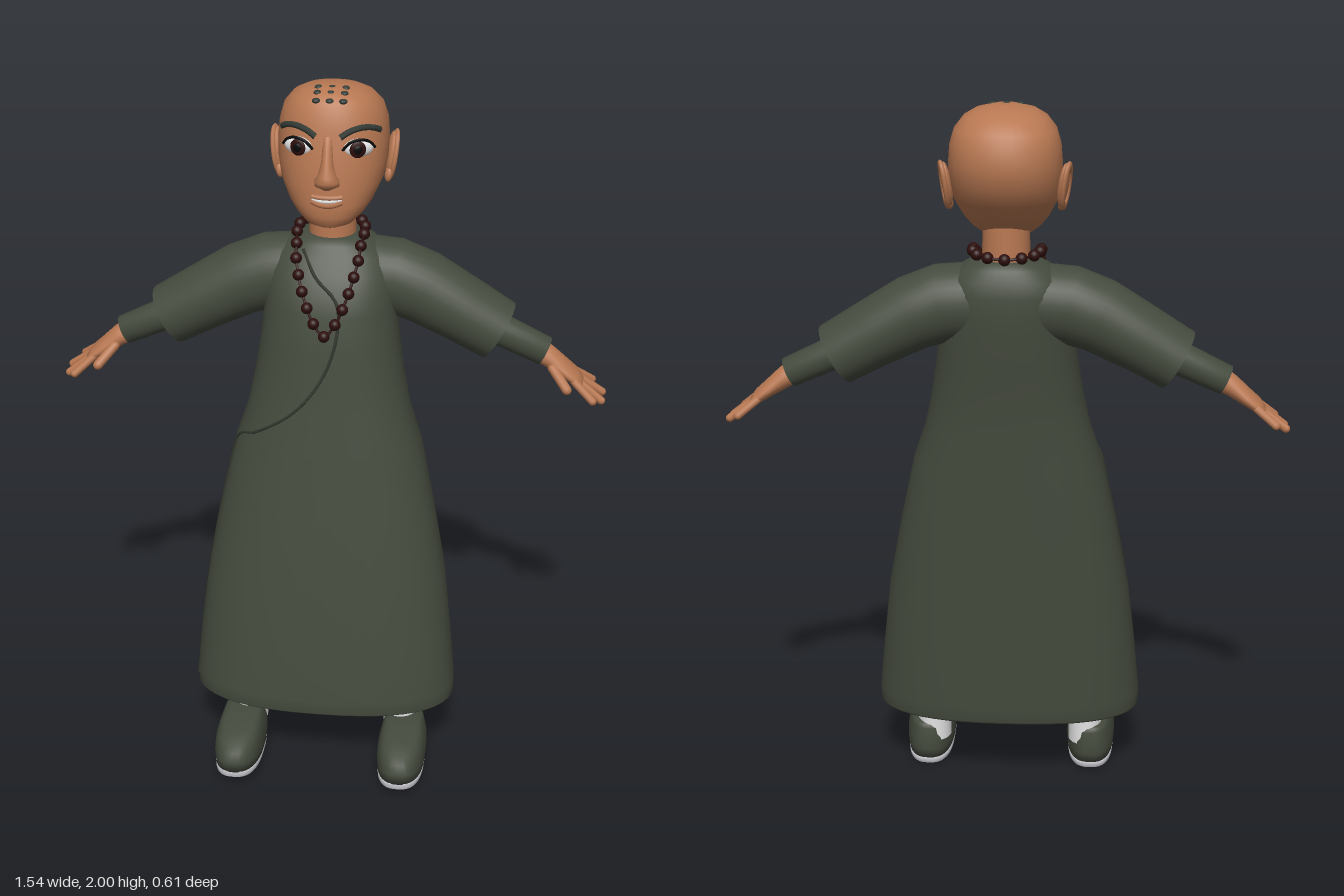
import * as THREE from 'three';

const mat = (name, color, side = THREE.FrontSide) => {
  const m = new THREE.MeshStandardMaterial({ color, side });
  m.name = name;
  return m;
};
const V = (x, y, z) => new THREE.Vector3(x, y, z);

// Skin a stack of rings; caps are optional fans.
function loft(rings, capStart, capEnd) {
  const n = rings[0].length, pos = [], idx = [];
  rings.forEach(r => r.forEach(p => pos.push(p.x, p.y, p.z)));
  for (let i = 0; i < rings.length - 1; i++) for (let j = 0; j < n; j++) {
    const k = (j + 1) % n, a = i * n + j, b = i * n + k, c = a + n, d = b + n;
    idx.push(a, c, d, a, d, b);
  }
  const cap = (i, flip) => {
    const c = V(0, 0, 0);
    rings[i].forEach(p => c.addScaledVector(p, 1 / n));
    const ci = pos.length / 3;
    pos.push(c.x, c.y, c.z);
    for (let j = 0; j < n; j++) {
      const a = i * n + j, b = i * n + (j + 1) % n;
      idx.push(ci, flip ? b : a, flip ? a : b);
    }
  };
  if (capStart) cap(0, false);
  if (capEnd) cap(rings.length - 1, true);
  const g = new THREE.BufferGeometry();
  g.setAttribute('position', new THREE.Float32BufferAttribute(pos, 3));
  g.setIndex(idx);
  g.computeVertexNormals();
  return g;
}

// Upright form from sections [y, halfWidth, zFront, zBack].
function upright(sections, pow, capStart = true, capEnd = true, sides = 40) {
  const se = v => Math.sign(v) * Math.pow(Math.abs(v), 2 / pow);
  return loft(sections.map(([y, w, zf, zb]) => Array.from({ length: sides }, (_, j) => {
    const t = j / sides * Math.PI * 2;
    return V(w * se(Math.cos(t)), y, (zf + zb) / 2 + (zf - zb) / 2 * se(Math.sin(t)));
  })), capStart, capEnd);
}

// Point on the front half of an upright form.
function onFront(sections, pow, x, y, out = 0) {
  let i = 0;
  while (i < sections.length - 2 && sections[i + 1][0] < y) i++;
  const a = sections[i], b = sections[i + 1], t = (y - a[0]) / (b[0] - a[0]);
  const [, w, zf, zb] = a.map((v, k) => v + (b[k] - v) * t);
  const u = Math.min(Math.abs(x) / w, 0.985);
  return V(Math.sign(x) * u * w, y, (zf + zb) / 2 + (zf - zb) / 2 * Math.pow(1 - u ** pow, 1 / pow) + out);
}

// Limb in the xy plane from points [x, y, halfThickness, halfDepth].
function limb(pts, zc, caps, sides = 24) {
  return loft(pts.map(([x, y, h, d], i) => {
    const p = pts[Math.max(i - 1, 0)], q = pts[Math.min(i + 1, pts.length - 1)];
    const l = Math.hypot(q[0] - p[0], q[1] - p[1]);
    const nx = -(q[1] - p[1]) / l, ny = (q[0] - p[0]) / l;
    return Array.from({ length: sides }, (_, j) => {
      const t = j / sides * Math.PI * 2, c = Math.cos(t) * h;
      return V(x + nx * c, y + ny * c, zc - Math.sin(t) * d);
    });
  }), caps, caps);
}

const tube = (pts, r, seg = 30, closed = false) =>
  new THREE.TubeGeometry(new THREE.CatmullRomCurve3(pts, closed), seg, r, 6, closed);

function rod(a, b, r) {
  const d = b.clone().sub(a);
  const g = new THREE.CapsuleGeometry(r, d.length() - r, 4, 10);
  g.applyQuaternion(new THREE.Quaternion().setFromUnitVectors(V(0, 1, 0), d.normalize()));
  const c = a.clone().add(b).multiplyScalar(0.5);
  return g.translate(c.x, c.y, c.z);
}

export function createModel() {
  const root = new THREE.Group();
  root.name = 'robedFigure';
  const robeMat = mat('robe green', 0x454b3e, THREE.DoubleSide);
  const seamMat = mat('seam dark green', 0x33382e);
  const skin = mat('skin', 0xb87852);
  const white = mat('sock white', 0xe2e2e2);
  const soleMat = mat('sole grey', 0xc0c0c6);
  const beadMat = mat('bead brown', 0x2c0e0c);
  const browMat = mat('brow grey', 0x343b35);
  const black = mat('pupil black', 0x0a0808);
  const add = (parent, name, geo, m) => {
    const mesh = new THREE.Mesh(geo, m);
    mesh.name = name;
    parent.add(mesh);
    return mesh;
  };
  const ball = (parent, name, m, p, s) => {
    const b = add(parent, name, new THREE.SphereGeometry(1, 20, 14), m);
    b.position.set(...p);
    b.scale.set(...s);
    return b;
  };

  // Long robe, with the inside of the hem folded in
  const robe = [
    [0.22, 0.38, 0.218, -0.16], [0.26, 0.38, 0.217, -0.163], [0.4, 0.366, 0.2, -0.17],
    [0.6, 0.343, 0.176, -0.18], [0.8, 0.305, 0.145, -0.19], [1.0, 0.262, 0.115, -0.2],
    [1.1, 0.228, 0.1, -0.205], [1.2, 0.208, 0.085, -0.212], [1.3, 0.193, 0.074, -0.225],
    [1.4, 0.182, 0.058, -0.235], [1.45, 0.18, 0.04, -0.238], [1.5, 0.174, 0.015, -0.238],
    [1.54, 0.155, -0.015, -0.23], [1.57, 0.118, -0.04, -0.213], [1.588, 0.08, -0.053, -0.197]];
  const inner = [[0.34, 0.34, 0.18, -0.145], [0.225, 0.365, 0.203, -0.145], [0.212, 0.373, 0.21, -0.153]];
  add(root, 'robe', upright([...inner, ...robe], 2.4, true, true, 48), robeMat);
  const fold = [[-0.07, 1.56], [-0.03, 1.5], [0.03, 1.44], [0.035, 1.36], [0.0, 1.24], [-0.08, 1.13], [-0.19, 1.05], [-0.25, 1.01],
    [-0.3, 0.9], [-0.34, 0.7], [-0.37, 0.45], [-0.38, 0.24]];
  add(root, 'robeOverlapSeam', tube(fold.map(([x, y]) => onFront(robe, 2.4, x, y)), 0.0045, 70), seamMat);

  // Neck and head
  add(root, 'neck', new THREE.CylinderGeometry(0.062, 0.066, 0.16, 24).translate(0, 1.625, -0.125), skin);
  const head = [
    [1.636, 0.035, -0.012, -0.08], [1.645, 0.065, 0.004, -0.13], [1.67, 0.092, 0.012, -0.175],
    [1.7, 0.114, 0.014, -0.21], [1.75, 0.138, 0.012, -0.262], [1.8, 0.148, 0.006, -0.293],
    [1.85, 0.15, -0.002, -0.306], [1.9, 0.146, -0.014, -0.302], [1.94, 0.134, -0.024, -0.282],
    [1.97, 0.11, -0.042, -0.247], [1.987, 0.08, -0.065, -0.21], [1.997, 0.035, -0.095, -0.165]];
  add(root, 'head', upright(head, 2.15), skin);
  add(root, 'nose', upright([
    [1.752, 0.015, 0.022, -0.03], [1.762, 0.034, 0.034, -0.03], [1.775, 0.034, 0.041, -0.03],
    [1.79, 0.025, 0.037, -0.03], [1.82, 0.017, 0.024, -0.03], [1.86, 0.014, 0.008, -0.03],
    [1.89, 0.012, -0.008, -0.03]], 2, true, true, 20), skin);
  const smile = (y, lift, out) => [-0.04, -0.02, 0, 0.02, 0.04].map(x =>
    onFront(head, 2.15, x, y + lift * (x / 0.04) ** 2, out));
  add(root, 'upperLip', tube(smile(1.728, 0.002, -0.001), 0.007), skin);
  add(root, 'teeth', tube(smile(1.718, 0.006, 0), 0.005), white);
  add(root, 'lowerLip', tube(smile(1.707, 0.01, -0.001), 0.008), skin);
  for (const z of [[-0.108, 1.993], [-0.08, 1.987], [-0.052, 1.974]])
    for (const x of [-0.036, 0, 0.036]) ball(root, 'scalpDot', browMat, [x, z[1], z[0]], [0.011, 0.007, 0.011]);

  // Everything that is mirrored is built on +x
  for (const s of [1, -1]) {
    const side = new THREE.Group();
    side.name = s > 0 ? 'leftSide' : 'rightSide';
    side.scale.x = s;
    root.add(side);

    // Eye, lashes and brow
    const eye = new THREE.Group();
    eye.name = 'eye';
    eye.position.set(0.078, 1.858, -0.027);
    eye.rotation.y = 0.3;
    side.add(eye);
    ball(eye, 'eyeball', white, [0, 0, 0], [0.042, 0.025, 0.018]);
    ball(eye, 'iris', beadMat, [-0.003, 0, 0.015], [0.022, 0.023, 0.006]);
    ball(eye, 'pupil', black, [-0.003, 0, 0.019], [0.012, 0.012, 0.004]);
    add(eye, 'lashLine', tube([V(-0.042, -0.003, 0.005), V(-0.022, 0.02, 0.014), V(0.005, 0.026, 0.014),
      V(0.03, 0.018, 0.008), V(0.046, 0, 0)], 0.004), black);
    const brow = [[0.032, 1.888], [0.055, 1.902], [0.085, 1.909], [0.112, 1.904], [0.13, 1.892]];
    add(side, 'eyebrow', tube(brow.map(([x, y]) => onFront(head, 2.15, x, y)), 0.009), browMat);

    // Ear
    const ear = new THREE.Group();
    ear.name = 'ear';
    ear.position.set(0.152, 1.795, -0.178);
    ear.rotation.set(-0.2, 0.25, -0.12);
    side.add(ear);
    ball(ear, 'earBody', skin, [0, 0, 0], [0.013, 0.062, 0.03]);
    ball(ear, 'earLobe', skin, [0, -0.055, 0.012], [0.011, 0.022, 0.015]);
    const rim = add(ear, 'earRim', new THREE.TorusGeometry(0.028, 0.007, 8, 24), skin);
    rim.position.x = 0.008;
    rim.rotation.y = Math.PI / 2;
    rim.scale.y = 2;

    // Wide sleeve, under-sleeve and hand
    add(side, 'sleeve', limb([[0, 1.468, 0.1, 0.095], [0.1, 1.467, 0.105, 0.1], [0.17, 1.46, 0.107, 0.1],
      [0.25, 1.432, 0.102, 0.1], [0.36, 1.372, 0.093, 0.098], [0.464, 1.312, 0.087, 0.094]], -0.127, false, 32), robeMat);
    add(side, 'underSleeve', limb([[0.34, 1.38, 0.05, 0.048], [0.47, 1.314, 0.046, 0.042],
      [0.595, 1.256, 0.042, 0.04]], -0.125, true), robeMat);
    const hand = new THREE.Group();
    hand.name = 'hand';
    side.add(hand);
    add(hand, 'palm', limb([[0.575, 1.263, 0.033, 0.033], [0.61, 1.24, 0.029, 0.036], [0.645, 1.214, 0.023, 0.047],
      [0.68, 1.188, 0.018, 0.05], [0.7, 1.172, 0.01, 0.044]], -0.122, true), skin);
    [[-0.085, 0.738, 1.135, -0.058], [-0.11, 0.763, 1.12, -0.1], [-0.135, 0.765, 1.125, -0.15], [-0.16, 0.735, 1.145, -0.19]]
      .forEach(([z, x, y, tz]) => add(hand, 'finger', rod(V(0.675, 1.19, z), V(x, y, tz), 0.0115), skin));
    add(hand, 'thumb', rod(V(0.615, 1.225, -0.092), V(0.665, 1.172, -0.042), 0.014), skin);

    // Sock and shoe
    add(side, 'sock', new THREE.CylinderGeometry(0.045, 0.05, 0.28, 24).scale(1, 1, 1.15).translate(0.225, 0.22, 0.04), white);
    const shoe = new THREE.Group();
    shoe.name = 'shoe';
    shoe.position.set(0.24, 0.004, 0);
    shoe.rotation.x = -0.085;
    side.add(shoe);
    add(shoe, 'sole', upright([[0, 0.062, 0.296, -0.012], [0.004, 0.067, 0.302, -0.018], [0.022, 0.068, 0.303, -0.019]], 2.7), soleMat);
    add(shoe, 'shoeUpper', upright([[0.02, 0.068, 0.303, -0.018], [0.05, 0.071, 0.306, -0.02], [0.08, 0.069, 0.3, -0.018],
      [0.1, 0.064, 0.28, -0.013], [0.117, 0.058, 0.235, -0.01], [0.128, 0.05, 0.17, -0.005], [0.132, 0.035, 0.12, 0.005]], 2.6), robeMat);
  }

  // Bead necklace
  const half = [[0.05, 1.603, -0.195], [0.083, 1.603, -0.15], [0.092, 1.602, -0.09], [0.088, 1.585, -0.04],
    [0.085, 1.555, 0.0], [0.077, 1.52, 0.022], [0.066, 1.48, 0.043], [0.05, 1.435, 0.06], [0.03, 1.39, 0.07]];
  const loop = [V(0, 1.6, -0.207), ...half.map(p => V(...p)), V(0, 1.355, 0.076),
    ...half.slice().reverse().map(([x, y, z]) => V(-x, y, z))];
  add(root, 'necklaceString', tube(loop, 0.004, 100, true), beadMat);
  new THREE.CatmullRomCurve3(loop, true).getSpacedPoints(22).slice(0, 22).forEach(p =>
    ball(root, 'bead', beadMat, p.toArray(), [0.016, 0.016, 0.016]));
  return root;
}
